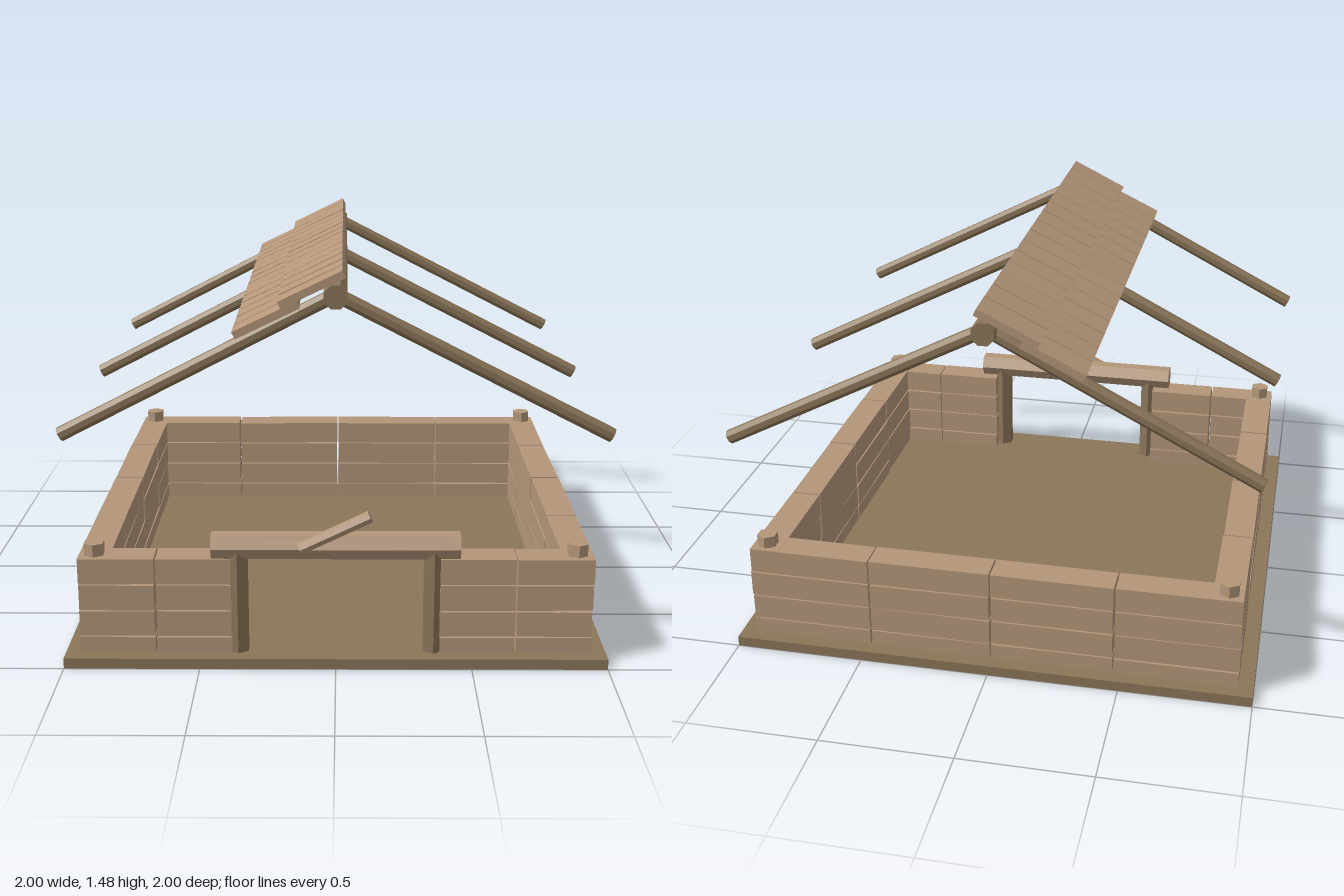
import * as THREE from 'three';

export function createModel() {
  const model = new THREE.Group();
  model.name = 'unfinishedHut';
  const darkWood = new THREE.MeshStandardMaterial({ name: 'darkWood', color: 0x8b7659, flatShading: true });
  const lightWood = new THREE.MeshStandardMaterial({ name: 'lightWood', color: 0xb4967a, flatShading: true });

  // Small seeded generator for hand-laid irregularity
  let seed = 7;
  const jitter = (amount) => {
    seed = (seed * 16807) % 2147483647;
    return (seed / 2147483647 - 0.5) * 2 * amount;
  };

  function group(name) {
    const g = new THREE.Group();
    g.name = name;
    model.add(g);
    return g;
  }

  function box(parent, name, material, w, h, d, x, y, z) {
    const mesh = new THREE.Mesh(new THREE.BoxGeometry(w, h, d), material);
    mesh.name = name;
    mesh.position.set(x, y, z);
    parent.add(mesh);
    return mesh;
  }

  // Straight log between two points; twist turns its sides about its axis
  function log(parent, name, material, from, to, radius, sides, twist = 0) {
    const a = new THREE.Vector3(...from);
    const b = new THREE.Vector3(...to);
    const axis = b.clone().sub(a);
    const geometry = new THREE.CylinderGeometry(radius, radius, axis.length(), sides);
    geometry.rotateY(twist);
    const mesh = new THREE.Mesh(geometry, material);
    mesh.name = name;
    mesh.quaternion.setFromUnitVectors(new THREE.Vector3(0, 1, 0), axis.normalize());
    mesh.position.copy(a).add(b).multiplyScalar(0.5);
    parent.add(mesh);
  }

  // Floor slab
  box(model, 'floor', darkWood, 2, 0.04, 2, 0, 0.02, 0);

  // Walls: four courses of planks, the lowest partly sunk into the floor
  const course = 0.1025;
  const wallLine = 0.887;
  function wall(parent, start, end, columns, alongX, side) {
    const step = (end - start) / columns;
    for (let row = 0; row < 4; row++) {
      for (let i = 0; i < columns; i++) {
        const along = start + step * (i + 0.5);
        const across = side * wallLine + jitter(0.002);
        const y = course * (row + 0.5) + 0.001;
        const length = step - 0.007 + jitter(0.003);
        const height = course - 0.005 + jitter(0.002);
        const plank = alongX
          ? box(parent, 'wallPlank', lightWood, length, height, 0.115, along, y, across)
          : box(parent, 'wallPlank', lightWood, 0.115, height, length, across, y, along);
        if (row > 0) plank.rotation[alongX ? 'z' : 'x'] = jitter(0.006);
        plank.rotation.y = jitter(0.005);
      }
    }
  }
  wall(group('backWall'), -0.945, 0.945, 4, true, -1);
  wall(group('leftWall'), -0.945, 0.945, 4, false, 1);
  wall(group('rightWall'), -0.945, 0.945, 4, false, -1);
  const frontWall = group('frontWall');
  wall(frontWall, -0.945, -0.38, 2, true, 1);
  wall(frontWall, 0.38, 0.945, 2, true, 1);

  // Corner posts
  const corners = group('cornerPosts');
  for (const x of [-0.888, 0.888]) {
    for (const z of [-0.888, 0.888]) {
      log(corners, 'cornerPost', lightWood, [x, 0, z], [x, 0.455, z], 0.04, 6);
    }
  }

  // Doorway: two posts, a lintel and a slanted stick in front
  const doorway = group('doorway');
  for (const x of [-0.36, 0.36]) {
    log(doorway, 'doorPost', darkWood, [x, 0.03, 0.91], [x, 0.455, 0.91], 0.042, 6);
  }
  log(doorway, 'lintel', lightWood, [-0.455, 0.452, 0.91], [0.455, 0.452, 0.91], 0.052, 6);
  log(doorway, 'slantedStick', lightWood, [-0.13, 0.458, 0.963], [0.125, 0.582, 0.963], 0.023, 6);

  // Roof frame: ridge log and three pairs of rafters
  const frame = group('roofFrame');
  log(frame, 'ridge', darkWood, [0, 1.385, -0.98], [0, 1.385, 0.98], 0.045, 8, Math.PI / 8);
  for (const z of [-0.925, 0, 0.925]) {
    for (const side of [-1, 1]) {
      log(frame, 'rafter', darkWood, [0, 1.385, z], [side * 0.985, 0.877, z], 0.027, 8, Math.PI / 8);
    }
  }

  // Two overlapping rows of roof boards near the ridge on the right slope
  const boards = group('roofBoards');
  const pitch = 0.45;
  const boardLength = 0.25;
  const thickness = 0.028;
  const rows = [[-0.35, 1.235], [-0.19, 1.342]]; // lower corner of each row
  for (const [x0, y0] of rows) {
    for (let i = 0; i < 15; i++) {
      const cx = x0 + (Math.cos(pitch) * boardLength - Math.sin(pitch) * thickness) / 2;
      const cy = y0 + (Math.sin(pitch) * boardLength + Math.cos(pitch) * thickness) / 2;
      const z = (i - 7) * 0.1303;
      const board = box(boards, 'roofBoard', lightWood, boardLength, thickness, 0.12 + jitter(0.003), cx, cy, z);
      board.rotation.set(jitter(0.012), jitter(0.012), pitch + jitter(0.008));
    }
  }

  return model;
}
